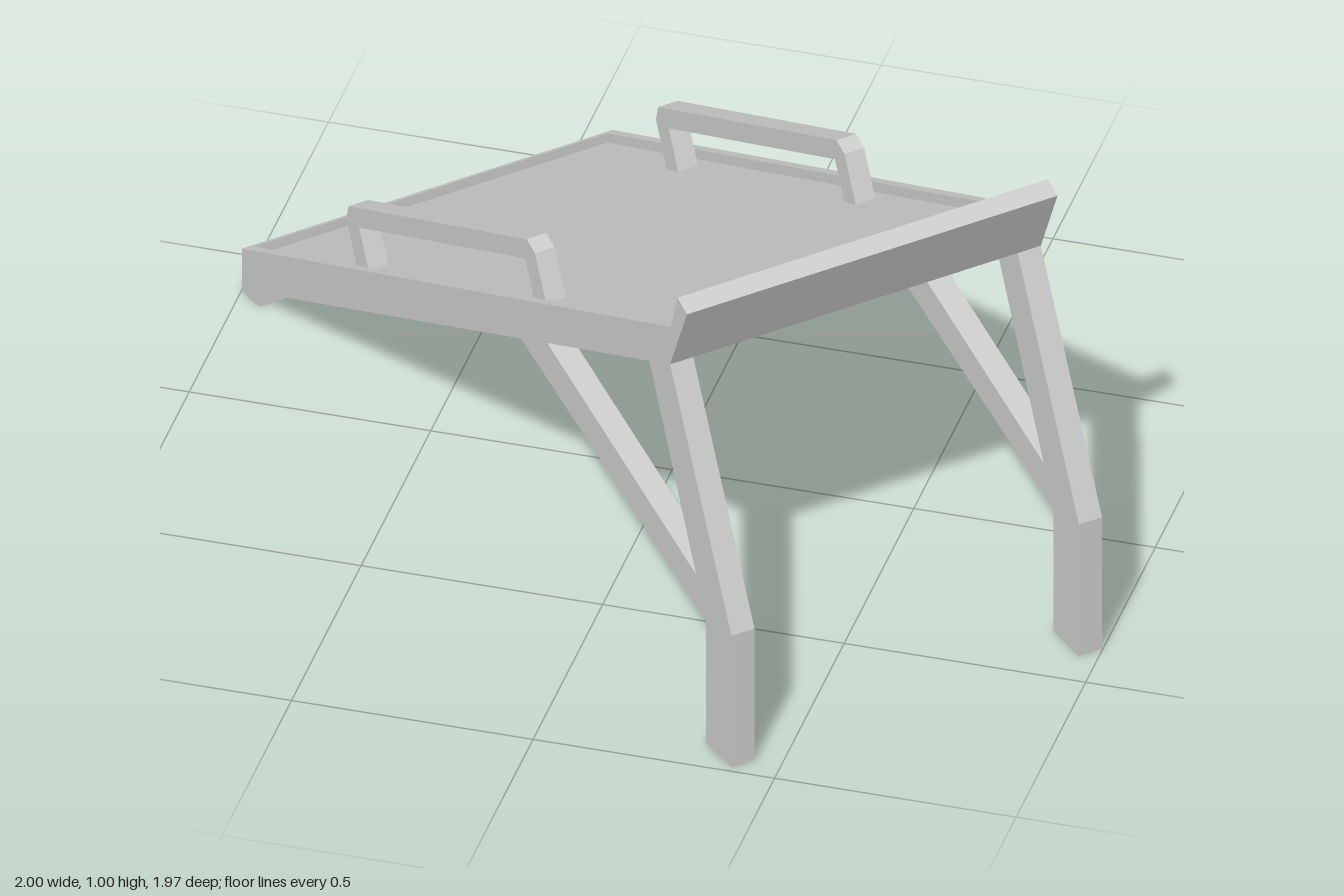
import * as THREE from 'three';

const HALF = 0.425;                 // half width of the ramp
const RIM = 0.02;                   // rim thickness
const SLOPE = Math.atan(0.473);     // incline of the ramp
const C = Math.cos(SLOPE), S = Math.sin(SLOPE);

// Point given along the ramp's top line (t) and out from it (n)
const onRamp = (t, n) => [-0.98 + t * C - n * S, 0.1 + t * S + n * C];

export function createModel() {
  const model = new THREE.Group();
  const material = new THREE.MeshStandardMaterial({ color: 0xcccccc, flatShading: true });

  // Extrudes a side profile across the width, centred on z
  function slab(name, points, width, z = 0) {
    const shape = new THREE.Shape(points.map(p => new THREE.Vector2(...p)));
    const geometry = new THREE.ExtrudeGeometry(shape, { depth: width, bevelEnabled: false });
    geometry.translate(0, 0, z - width / 2);
    const mesh = new THREE.Mesh(geometry, material);
    mesh.name = name;
    model.add(mesh);
  }

  // Sloping deck, set slightly below its rim
  slab('deck', [[-0.965, 0.015], [-0.95, 0.015], [0.715, 0.815],
    [0.715, 0.88], [-0.965, 0.085]], 2 * (HALF - RIM));

  // Low end rim
  slab('lowerRim', [[-0.98, 0.015], [-0.965, 0.015], [-0.965, 0.107], [-0.98, 0.1]],
    2 * (HALF - RIM));

  // Outward leaning board at the high end, with the upper rim
  slab('endBoard', [[0.71, 0.899], [0.715, 0.815], [0.733, 0.823], [0.8, 0.982],
    [0.762, 1], [0.735, 0.914]], 2 * HALF);

  for (const side of [-1, 1]) {
    const at = width => side * (HALF - width / 2);

    // Side rim
    slab('sideRim', [[-0.98, 0.015], [-0.95, 0.015], [0.733, 0.823],
      [0.735, 0.914], [-0.98, 0.1]], RIM, at(RIM));

    // Bent leg with its diagonal brace
    slab('leg', [[0.136, 0.536], [0.877, 0.294], [0.877, 0], [0.978, 0], [0.978, 0.315],
      [0.733, 0.823], [0.65, 0.783], [0.837, 0.38], [0.241, 0.587]], 0.053, at(0.053));

    // Small pad under the low end
    slab('footPad', [[-0.98, 0], [-0.912, 0], [-0.912, 0.034], [-0.95, 0.016], [-0.98, 0.016]],
      0.085, at(0.085));

    // Grab rail with chamfered corners
    slab('handrail', [[0.41, -0.025], [0.46, -0.025], [0.46, 0.07], [1.195, 0.07],
      [1.195, -0.025], [1.245, -0.025], [1.245, 0.085], [1.222, 0.112], [0.433, 0.112],
      [0.41, 0.085]].map(p => onRamp(...p)), 0.045, side * 0.355);
  }

  // The ramp lies diagonally
  model.rotation.y = -THREE.MathUtils.degToRad(44.1);
  const group = new THREE.Group();
  group.name = 'ramp';
  group.add(model);
  return group;
}
